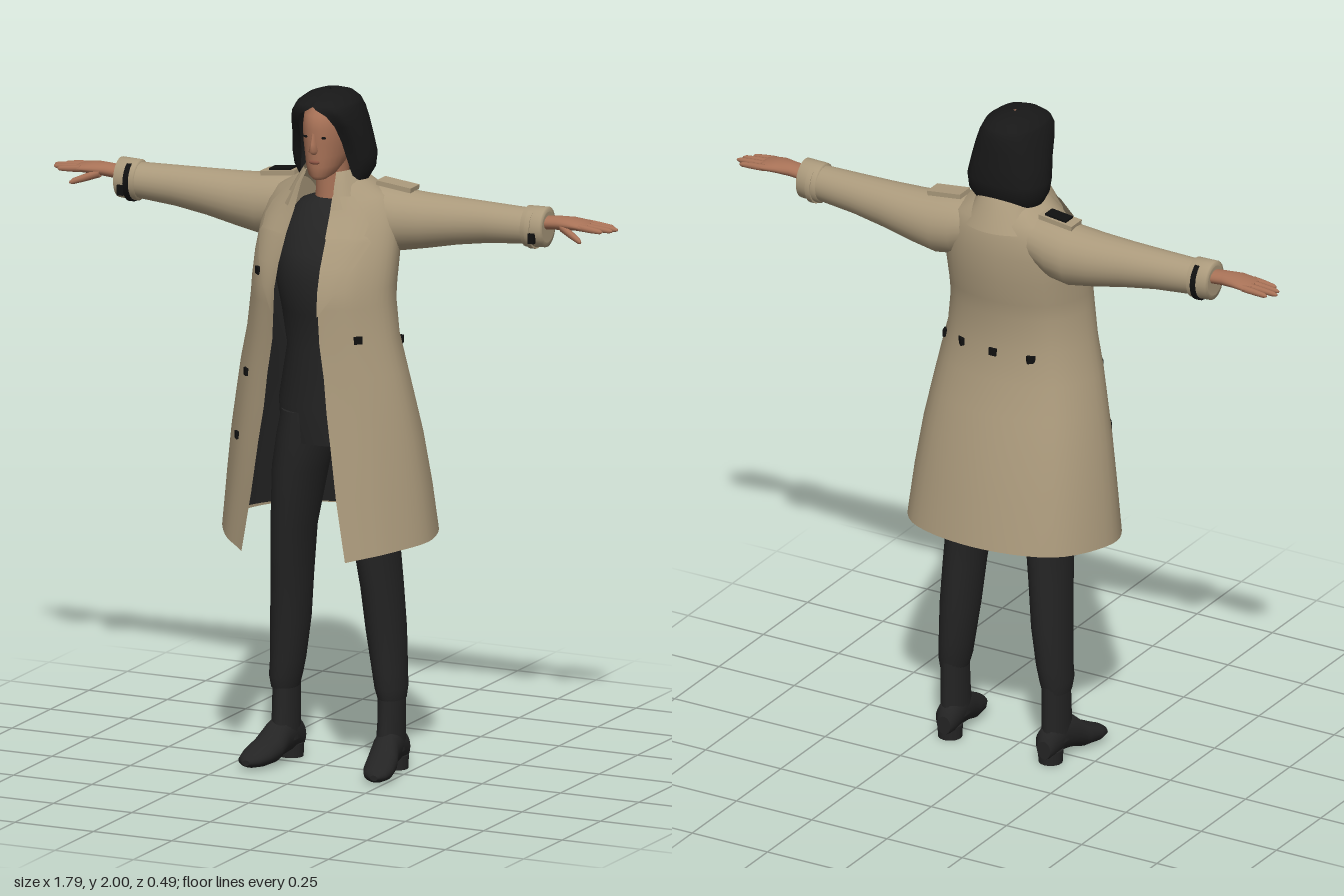
import * as THREE from 'three';

const V = (x, y, z) => new THREE.Vector3(x, y, z);
const mat = (name, color, double) => {
  const m = new THREE.MeshStandardMaterial({ color });
  m.name = name;
  if (double) m.side = THREE.DoubleSide;
  return m;
};

// Smooth surface over rows of points; closed rows are wrapped and capped.
function surface(rows, closed) {
  const n = rows[0].length, pos = [], idx = [];
  rows.forEach(r => r.forEach(p => pos.push(p.x, p.y, p.z)));
  for (let j = 0; j < rows.length - 1; j++) {
    for (let i = 0; i < (closed ? n : n - 1); i++) {
      const k = (i + 1) % n, a = j * n + i, b = j * n + k;
      idx.push(a, b, b + n, a, b + n, a + n);
    }
  }
  if (closed) {
    for (const [j, flip] of [[0, true], [rows.length - 1, false]]) {
      const c = rows[j].reduce((s, p) => s.add(p), V(0, 0, 0)).divideScalar(n);
      const base = pos.length / 3;
      rows[j].forEach(p => pos.push(p.x, p.y, p.z));
      pos.push(c.x, c.y, c.z);
      for (let i = 0; i < n; i++) {
        const a = base + i, b = base + (i + 1) % n;
        if (flip) idx.push(b, a, base + n); else idx.push(a, b, base + n);
      }
    }
    // Turn the faces outward if the signed volume is negative
    const at = i => V(pos[3 * i], pos[3 * i + 1], pos[3 * i + 2]);
    let vol = 0;
    for (let i = 0; i < idx.length; i += 3) vol += at(idx[i]).dot(at(idx[i + 1]).cross(at(idx[i + 2])));
    if (vol < 0) idx.reverse();
  }
  const g = new THREE.BufferGeometry();
  g.setAttribute('position', new THREE.Float32BufferAttribute(pos, 3));
  g.setIndex(idx);
  g.computeVertexNormals();
  return g;
}

// Ellipse around a centre, in the plane across the given axis
function ring(axis, c, a, b, n = 24) {
  return Array.from({ length: n }, (_, i) => {
    const t = i / n * Math.PI * 2, p = a * Math.cos(t), q = b * Math.sin(t);
    if (axis === 'y') return V(c[0] + p, c[1], c[2] + q);
    if (axis === 'x') return V(c[0], c[1] + p, c[2] + q);
    return V(c[0] + p, c[1] + q, c[2]);
  });
}
// Upright body from rows of [y, half width, front z, back z]
const body = rows => surface(rows.map(([y, w, f, b]) => ring('y', [0, y, (f + b) / 2], w, (f - b) / 2)), true);

// Outline open at the front, from rows of [y, opening, edge z, half width, back z]
function openCurve([y, o, ze, w, zb], round = 0.62) {
  const zs = (ze + zb) / 2;
  const half = [[o, ze], [o + (w - o) * round, zs + (ze - zs) * round], [w, zs], [w * 0.72, zs + (zb - zs) * 0.75]];
  const pts = [...half, [0, zb], ...half.slice().reverse().map(([x, z]) => [-x, z])];
  return new THREE.CatmullRomCurve3(pts.map(([x, z]) => V(x, y, z)), false, 'catmullrom', 0.5);
}
const openRow = (row, round, u0 = 0, u1 = 1, n = 48) => {
  const c = openCurve(row, round);
  return Array.from({ length: n + 1 }, (_, i) => c.getPoint(u0 + (u1 - u0) * i / n));
};

const COAT = [
  [0.69, 0.165, 0.243, 0.325, -0.245], [0.85, 0.135, 0.24, 0.31, -0.222], [1.0, 0.115, 0.235, 0.29, -0.19],
  [1.1, 0.1, 0.23, 0.272, -0.163], [1.2, 0.09, 0.227, 0.253, -0.138], [1.3, 0.075, 0.226, 0.23, -0.122],
  [1.4, 0.07, 0.228, 0.218, -0.125], [1.45, 0.07, 0.224, 0.217, -0.135], [1.52, 0.068, 0.2, 0.217, -0.148],
  [1.6, 0.065, 0.155, 0.213, -0.155], [1.66, 0.06, 0.115, 0.2, -0.15], [1.7, 0.058, 0.095, 0.17, -0.14],
  [1.735, 0.055, 0.08, 0.11, -0.12], [1.76, 0.05, 0.06, 0.07, -0.1]];
function coatRow(y) {
  let i = 0;
  while (i < COAT.length - 2 && COAT[i + 1][0] < y) i++;
  const a = COAT[i], b = COAT[i + 1], t = (y - a[0]) / (b[0] - a[0]);
  return a.map((v, k) => v + (b[k] - v) * t);
}

export function createModel() {
  const root = new THREE.Group();
  root.name = 'womanInTrenchCoat';
  const coat = mat('coatTan', 0xab9a7c, true), skin = mat('skin', 0xa87257), hair = mat('hairBlack', 0x181818, true);
  const cloth = mat('clothBlack', 0x242424, true), trim = mat('trimBlack', 0x101010), lip = mat('lipBrown', 0x8c5544);
  const upper = new THREE.Group();
  upper.name = 'upperBody';
  upper.position.x = 0.016;
  root.add(upper);
  const add = (name, geo, m, parent = upper) => {
    const mesh = new THREE.Mesh(geo, m);
    mesh.name = name;
    parent.add(mesh);
    return mesh;
  };
  const box = (name, size, p, m, parent) => {
    const b = add(name, new THREE.BoxGeometry(...size), m, parent);
    b.position.set(...p);
    return b;
  };
  const ball = (name, r, p, scale, m) => {
    const b = add(name, new THREE.SphereGeometry(r, 14, 10), m);
    b.position.set(...p);
    b.scale.set(...scale);
    return b;
  };

  // Sweater, hips and neck
  add('sweater', body([[0.97, 0.15, 0.11, -0.12], [1.08, 0.155, 0.12, -0.12], [1.25, 0.12, 0.12, -0.085],
    [1.36, 0.13, 0.145, -0.09], [1.46, 0.145, 0.17, -0.1], [1.54, 0.145, 0.155, -0.11], [1.62, 0.13, 0.11, -0.11],
    [1.67, 0.09, 0.075, -0.09], [1.685, 0.05, 0.05, -0.07]]), cloth);
  add('neck', body([[1.62, 0.055, 0.05, -0.07], [1.7, 0.047, 0.04, -0.07], [1.8, 0.045, 0.045, -0.07]]), skin);

  // Head and face
  add('head', body([[1.75, 0.018, 0.095, 0.04], [1.762, 0.035, 0.106, 0.0], [1.79, 0.05, 0.11, -0.05], [1.82, 0.058, 0.11, -0.08],
    [1.86, 0.065, 0.112, -0.095], [1.9, 0.068, 0.113, -0.1], [1.94, 0.063, 0.108, -0.095], [1.975, 0.04, 0.07, -0.07]]), skin);
  add('nose', surface([[1.828, 0.008, 0.114], [1.84, 0.014, 0.133], [1.86, 0.01, 0.125], [1.89, 0.007, 0.116]]
    .map(([y, w, z]) => ring('y', [0, y, 0.1], w, z - 0.1, 12)), true), skin);
  ball('lips', 0.017, [0, 1.805, 0.107], [1, 0.4, 0.35], lip);
  for (const s of [1, -1]) ball('eye', 0.01, [s * 0.027, 1.878, 0.103], [1, 0.4, 0.3], trim);

  // Bobbed hair, open around the face
  add('hair', surface([[1.735, 0.085, 0.015, 0.1, -0.095], [1.77, 0.08, 0.03, 0.12, -0.118], [1.81, 0.072, 0.042, 0.125, -0.124],
    [1.86, 0.065, 0.06, 0.116, -0.12], [1.91, 0.058, 0.09, 0.106, -0.116], [1.945, 0.042, 0.114, 0.096, -0.112],
    [1.962, 0.012, 0.12, 0.088, -0.105], [1.97, 0, 0.116, 0.084, -0.1], [1.987, 0, 0.085, 0.062, -0.08],
    [1.996, 0, 0.05, 0.036, -0.05], [2.0, 0, 0.004, 0.004, -0.004]].map(r => openRow(r, 0.74))), hair);

  // Coat shell with dipped front corners, and the dark lining of the back
  const shell = COAT.map(r => openRow(r));
  shell[0].forEach((p, i) => { p.y = 0.715 - 0.045 * Math.abs(i / 24 - 1) ** 2; });
  add('coat', surface(shell), coat);
  const lining = COAT.slice(0, 10).map(r => openRow(r, 0.62, 0.27, 0.73, 24)
    .map(p => V(p.x * 0.97, Math.max(p.y, 0.72), p.z * 0.96)));
  add('lining', surface(lining), cloth);

  // Turned-down collar
  add('collar', surface([[1.675, 0.07, 0.135, 0.14, -0.16], [1.735, 0.06, 0.1, 0.1, -0.135], [1.772, 0.05, 0.065, 0.08, -0.112]]
    .map(r => openRow(r))), coat);

  // Lapels and collar points follow the coat front, from rows of [y, width along the coat]
  const lapel = [[1.385, 0.002], [1.45, 0.055], [1.52, 0.105], [1.585, 0.15], [1.6, 0.135], [1.62, 0.08]];
  const point = [[1.6, 0.125], [1.635, 0.14], [1.67, 0.125], [1.71, 0.1]];
  for (const s of [1, -1]) {
    for (const [name, rows, lift] of [['lapel', lapel, 0.012], ['collarPoint', point, 0.018]]) {
      add(name, surface(rows.map(([y, w]) => {
        const r = openRow(coatRow(y), 0.62, s > 0 ? 0 : 1 - w, s > 0 ? w : 1, 8);
        return r.map(p => V(p.x * 1.03, p.y, p.z + lift));
      })), coat);
    }
  }

  // Coat buttons and belt loops
  for (const [u, y] of [[0.12, 1.31], [0.885, 1.48], [0.885, 1.18], [0.885, 0.99], [0.34, 1.27], [0.42, 1.285], [0.5, 1.285], [0.58, 1.28]]) {
    const p = openCurve(coatRow(y)).getPoint(u);
    const b = box('button', [0.024, 0.022, 0.012], [p.x, p.y, p.z], trim);
    b.rotation.y = Math.atan2(p.x, p.z);
  }

  for (const s of [1, -1]) {
    const side = s > 0 ? 'left' : 'right';

    // Sleeve, cuff and strap
    const arm = new THREE.Group();
    arm.name = side + 'Arm';
    root.add(arm);
    const tube = rows => surface(rows.map(([x, y, ry, z, rz]) => ring('x', [s * x, y, z], ry, rz)), true);
    add('sleeve', tube([[0.09, 1.65, 0.07, -0.05, 0.08], [0.16, 1.63, 0.09, -0.055, 0.088], [0.22, 1.622, 0.09, -0.06, 0.085],
      [0.3, 1.627, 0.08, -0.062, 0.078], [0.4, 1.636, 0.068, -0.062, 0.066], [0.5, 1.643, 0.059, -0.06, 0.057],
      [0.64, 1.648, 0.051, -0.057, 0.05]]), coat, arm);
    add('cuff', tube([[0.615, 1.647, 0.05, -0.057, 0.048], [0.618, 1.647, 0.06, -0.057, 0.055], [0.68, 1.65, 0.059, -0.057, 0.053],
      [0.683, 1.65, 0.045, -0.057, 0.042]]), coat, arm);
    add('cuffStrap', tube([[0.632, 1.645, 0.062, -0.057, 0.058], [0.648, 1.645, 0.062, -0.057, 0.058]]), s > 0 ? coat : trim, arm);
    box('cuffBuckle', [0.02, 0.03, 0.012], [s * 0.655, 1.625, -0.003], trim, arm);

    // Hand with four fingers and a thumb
    add('hand', tube([[0.66, 1.662, 0.02, -0.057, 0.028], [0.72, 1.667, 0.02, -0.057, 0.03], [0.76, 1.669, 0.018, -0.057, 0.04],
      [0.8, 1.667, 0.014, -0.06, 0.043], [0.815, 1.666, 0.008, -0.06, 0.04]]), skin, arm);
    const digit = (name, a, b, r) => add(name, surface([0, 0.5, 0.9, 1].map((t, i) => {
      const p = V(...a).lerp(V(...b), t);
      return ring('x', [s * p.x, p.y, p.z], r * [1, 0.9, 0.7, 0.3][i], r * [1, 0.9, 0.7, 0.3][i], 10);
    }), true), skin, arm);
    [0.868, 0.89, 0.897, 0.875].forEach((x, i) =>
      digit('finger', [0.795, 1.667, -0.028 - i * 0.021], [x, 1.661, -0.028 - i * 0.022], 0.0105));
    digit('thumb', [0.735, 1.66, -0.035], [0.815, 1.632, 0.002], 0.013);

    // Shoulder strap
    const strap = box('shoulderStrap', [0.11, 0.014, 0.058], [s * 0.185, 1.722, -0.06], coat);
    strap.rotation.z = -s * 0.12;
    if (s < 0) box('strapPatch', [0.07, 0.006, 0.04], [0.005, 0.01, 0], trim, strap);

    // Trouser leg
    const leg = new THREE.Group();
    leg.name = side + 'Leg';
    leg.position.x = 0.028;
    root.add(leg);
    add('trouserLeg', surface([[1.06, 0.075, 0.075, 0.115, -0.115], [0.98, 0.085, 0.083, 0.115, -0.12], [0.88, 0.108, 0.075, 0.11, -0.115],
      [0.7, 0.13, 0.06, 0.093, -0.1], [0.55, 0.143, 0.057, 0.065, -0.102], [0.42, 0.152, 0.055, 0.048, -0.104],
      [0.3, 0.162, 0.048, 0.036, -0.098], [0.25, 0.168, 0.045, 0.035, -0.092], [0.215, 0.17, 0.038, 0.025, -0.085]]
      .map(([y, x, w, f, b]) => ring('y', [s * x, y, (f + b) / 2], w, (f - b) / 2)), true), cloth, leg);

    // Ankle boot with heel
    add('bootShaft', surface([[0.24, 0.036, 0.024], [0.15, 0.036, 0.028], [0.06, 0.038, 0.04]]
      .map(([y, w, f]) => ring('y', [s * 0.168, y, (f - 0.09) / 2], w, (f + 0.09) / 2)), true), cloth, leg);
    add('bootFoot', surface([[-0.1, 0.166, 0.022, 0.02, 0.075], [-0.085, 0.166, 0.035, 0.015, 0.11], [-0.03, 0.168, 0.038, 0.02, 0.14],
      [0.02, 0.174, 0.042, 0.015, 0.125], [0.06, 0.183, 0.048, 0.003, 0.088], [0.11, 0.194, 0.047, 0.002, 0.062],
      [0.145, 0.2, 0.035, 0.006, 0.045], [0.16, 0.204, 0.012, 0.014, 0.03]]
      .map(([z, x, w, lo, hi]) => ring('z', [s * x, (lo + hi) / 2, z], w, (hi - lo) / 2)), true), cloth, leg);
    const heel = add('bootHeel', new THREE.CylinderGeometry(0.037, 0.035, 0.04, 20), cloth, leg);
    heel.position.set(s * 0.167, 0.02, -0.062);
  }
  return root;
}
